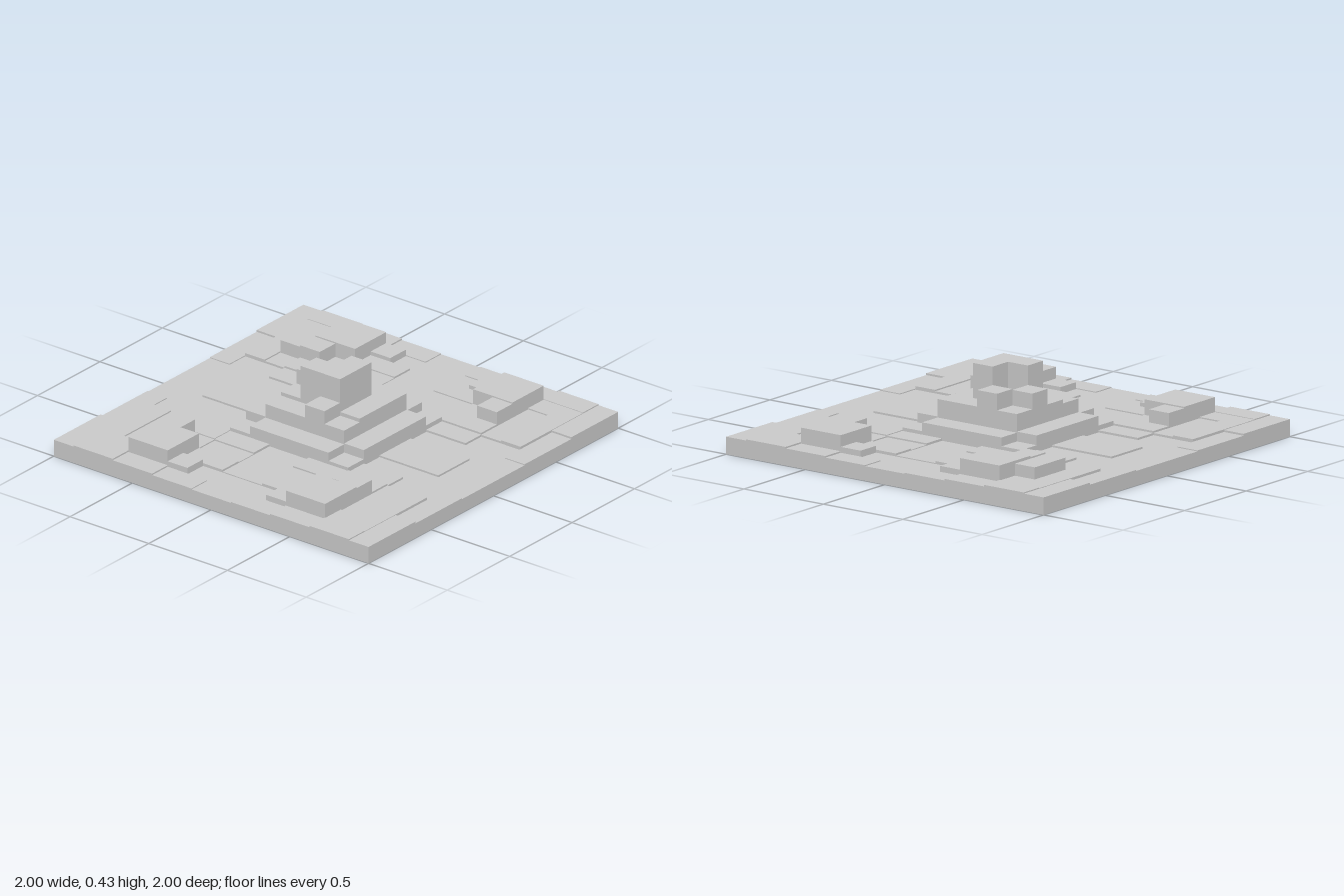
import * as THREE from 'three';

export function createModel() {
  const model = new THREE.Group();
  const material = new THREE.MeshStandardMaterial({ color: 0xcccccc, flatShading: true });

  // Box given by its plan corners and its bottom and top heights
  function block(name, x0, x1, z0, z1, top, bottom = 0.04) {
    const mesh = new THREE.Mesh(new THREE.BoxGeometry(x1 - x0, top - bottom, z1 - z0), material);
    mesh.name = name;
    mesh.position.set((x0 + x1) / 2, (top + bottom) / 2, (z0 + z1) / 2);
    model.add(mesh);
  }

  // Same box repeated in all four quadrants
  function quad(name, x0, x1, z0, z1, top) {
    for (const sx of [-1, 1]) for (const sz of [-1, 1]) {
      const xs = [sx * x0, sx * x1].sort((a, b) => a - b);
      const zs = [sz * z0, sz * z1].sort((a, b) => a - b);
      block(name, ...xs, ...zs, top);
    }
  }

  block('basePlate', -1, 1, -1, 1, 0.075, 0);

  // Low paving slabs: [x0, x1, z0, z1, top] in one quadrant
  const paving = [
    [0.25, 0.625, 0.875, 1, 0.08],
    [0.625, 1, 0.875, 1, 0.09],
    [0.375, 0.875, 0.75, 0.875, 0.093],
    [0.75, 0.875, 0.625, 0.75, 0.093],
    [0.875, 1, 0.625, 0.875, 0.096],
    [0.875, 1, 0.375, 0.625, 0.088],
    [0.875, 1, 0.125, 0.375, 0.08],
    [0.375, 0.75, 0.625, 0.75, 0.086],
    [0.375, 0.5, 0.375, 0.625, 0.096],
    [0.5, 0.625, 0.375, 0.5, 0.09],
    [0.25, 0.375, 0.375, 0.625, 0.086],
    [0.375, 0.5, 0.125, 0.375, 0.092],
    [0.5, 0.625, 0.125, 0.375, 0.084],
    [0.625, 0.75, 0.125, 0.375, 0.09],
    [0.375, 0.75, 0, 0.125, 0.08],
    [0, 0.125, 0.375, 0.75, 0.085],
  ];
  paving.forEach((p) => quad('pavingSlab', ...p));

  // L-shaped corner buildings with a low outbuilding
  quad('cornerBuilding', 0.625, 0.875, 0.375, 0.625, 0.17);
  quad('cornerWing', 0.5, 0.625, 0.5, 0.625, 0.163);
  quad('cornerOutbuilding', 0.75, 0.875, 0.25, 0.375, 0.11);
  block('backAnnex', 0.5, 0.75, -0.75, -0.625, 0.155);

  // Stepped cross-shaped plinth
  quad('plinthCorner', 0.25, 0.375, 0.25, 0.375, 0.11);
  block('plinthLong', -0.25, 0.25, -0.375, 0.375, 0.16);
  block('plinthWide', -0.375, 0.375, -0.25, 0.25, 0.155);
  block('upperTerrace', -0.25, 0.25, -0.25, 0.25, 0.23);
  block('terraceFront', -0.125, 0.25, 0.125, 0.25, 0.25);
  block('terraceRaised', -0.125, 0.25, -0.25, 0.125, 0.25);

  // Central tower, L-shaped in plan, with lower turrets around it
  block('towerFront', -0.125, 0.125, 0, 0.125, 0.43);
  block('towerBack', -0.125, 0, -0.125, 0, 0.43);
  block('towerNotch', 0, 0.125, -0.125, 0, 0.28);
  block('backTurret', 0, 0.125, -0.25, -0.125, 0.33);
  block('sideTurret', 0.125, 0.25, -0.125, 0, 0.335);
  block('lowTurret', -0.25, -0.125, 0, 0.125, 0.3);

  return model;
}
